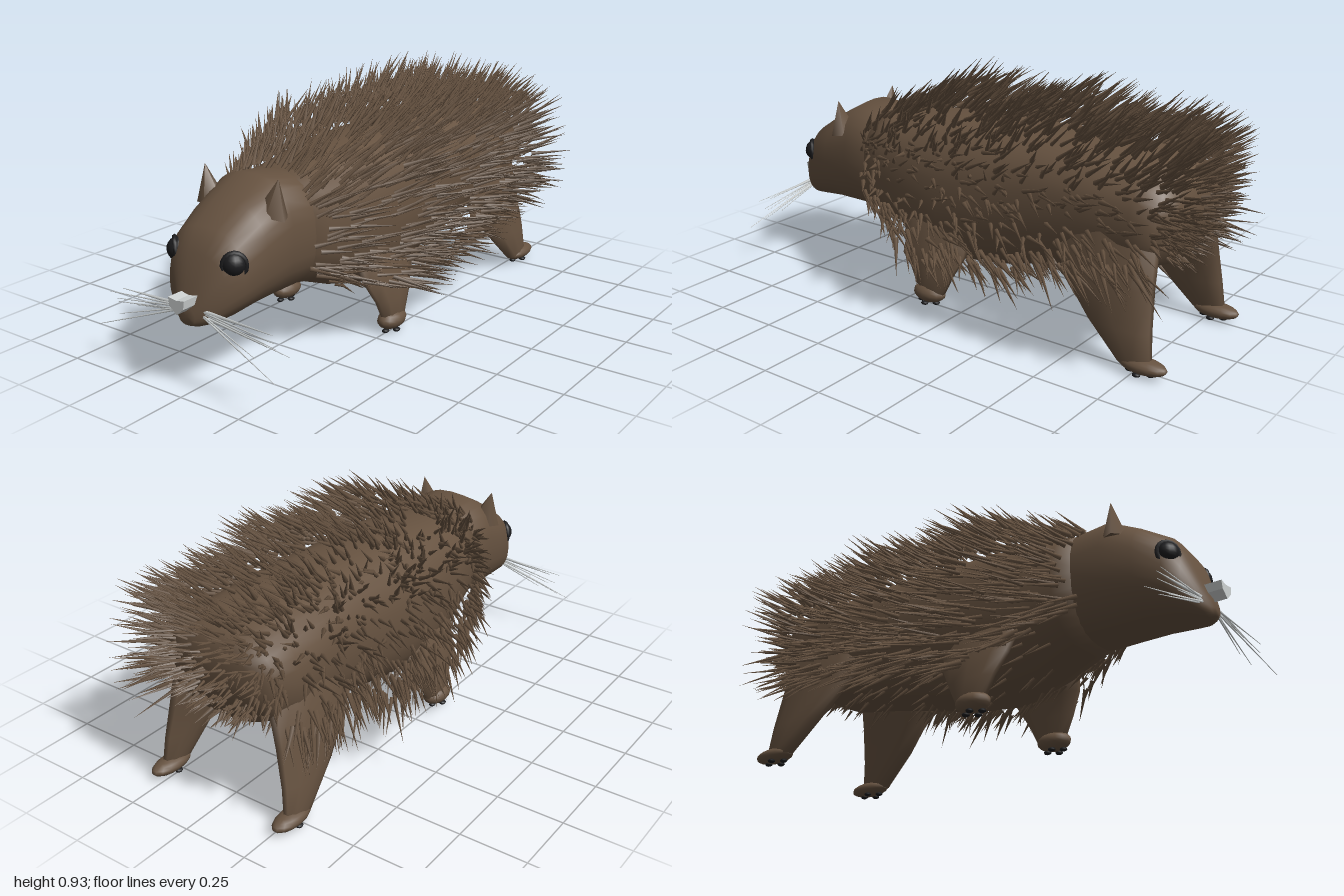
import * as THREE from 'three';
import { mergeGeometries } from 'three/addons/utils/BufferGeometryUtils.js';

// Small seeded random generator
function seeded(seed) {
  return () => {
    seed = (seed * 1664525 + 1013904223) >>> 0;
    return seed / 4294967296;
  };
}

// Skin a closed surface over a list of rings of points, with both ends capped
function loft(rings) {
  const n = rings[0].length;
  const pos = rings.flat().flatMap((p) => [p.x, p.y, p.z]);
  const idx = [];
  for (let i = 0; i < rings.length - 1; i++) {
    for (let j = 0; j < n; j++) {
      const a = i * n + j, b = i * n + (j + 1) % n;
      idx.push(a, a + n, b, b, a + n, b + n);
    }
  }
  for (const end of [0, rings.length - 1]) {
    const c = rings[end].reduce((s, p) => s.add(p), new THREE.Vector3()).divideScalar(n);
    const k = pos.length / 3;
    pos.push(c.x, c.y, c.z);
    for (let j = 0; j < n; j++) {
      const a = end * n + j, b = end * n + (j + 1) % n;
      idx.push(k, end ? b : a, end ? a : b);
    }
  }
  const g = new THREE.BufferGeometry();
  g.setAttribute('position', new THREE.Float32BufferAttribute(pos, 3));
  g.setIndex(idx);
  g.computeVertexNormals();
  return g;
}

// Point on an upright cross-section [z, halfWidth, bottom, top], slightly boxy
function sectionPoint([z, w, yb, yt], a) {
  const f = (v) => Math.sign(v) * Math.pow(Math.abs(v), 0.82);
  return new THREE.Vector3(w * f(Math.cos(a)), (yb + yt) / 2 + (yt - yb) / 2 * f(Math.sin(a)), z);
}
const zLoft = (sections, n) => loft(sections.map((s) =>
  Array.from({ length: n }, (_, j) => sectionPoint(s, j / n * Math.PI * 2))));

// Limb from flat sections [y, x, z, halfX, halfZ], top to bottom
const limb = (sections, side, n = 10) => loft(sections.map(([y, x, z, rx, rz]) =>
  Array.from({ length: n }, (_, j) => {
    const a = j / n * Math.PI * 2;
    return new THREE.Vector3(side * x + rx * Math.cos(a), y, z - rz * Math.sin(a));
  })));

// Thin tapered spike from a base point along a direction
const UP = new THREE.Vector3(0, 1, 0);
function spike(base, dir, length, radius, tip = 0) {
  const g = new THREE.CylinderGeometry(tip, radius, length, 5, 1, true);
  g.translate(0, length / 2, 0);
  g.applyQuaternion(new THREE.Quaternion().setFromUnitVectors(UP, dir.clone().normalize()));
  return g.translate(base.x, base.y, base.z);
}

const BODY = [
  [0.57, 0.18, 0.26, 0.66], [0.45, 0.21, 0.24, 0.66], [0.3, 0.235, 0.18, 0.68],
  [0.12, 0.25, 0.13, 0.7], [-0.1, 0.25, 0.16, 0.7], [-0.3, 0.25, 0.21, 0.71],
  [-0.5, 0.255, 0.26, 0.7], [-0.7, 0.26, 0.3, 0.69], [-0.79, 0.24, 0.34, 0.66],
  [-0.82, 0.15, 0.43, 0.6],
];
const HEAD = [
  [0.955, 0.035, 0.24, 0.3], [0.935, 0.07, 0.232, 0.36], [0.9, 0.125, 0.232, 0.47],
  [0.85, 0.16, 0.24, 0.545], [0.75, 0.178, 0.25, 0.61], [0.63, 0.188, 0.25, 0.675],
  [0.5, 0.193, 0.25, 0.66], [0.42, 0.17, 0.27, 0.63],
];

// Body cross-section at any z
function bodySection(z) {
  let i = 0;
  while (i < BODY.length - 2 && z < BODY[i + 1][0]) i++;
  const t = (BODY[i][0] - z) / (BODY[i][0] - BODY[i + 1][0]);
  return BODY[i].map((v, k) => v + (BODY[i + 1][k] - v) * t);
}

function quillGeometry() {
  const rand = seeded(7), list = [];
  const between = (a, b) => a + (b - a) * rand();
  const add = (z, a, lift, length, out, radius, rise) => {
    const s = bodySection(z);
    const normal = new THREE.Vector3(Math.cos(a) / s[1], Math.sin(a) * 2 / (s[3] - s[2]), 0).normalize();
    const base = sectionPoint(s, a).addScaledVector(normal, lift);
    const dir = normal.multiplyScalar(out).add(
      new THREE.Vector3(between(-0.2, 0.2), rise + between(-0.2, 0.2), -Math.sqrt(1 - out * out)));
    list.push(spike(base, dir, length, radius));
  };
  // Back and flanks: humps along the spine, standing further out at the sides
  for (let i = 0; i < 1700; i++) {
    const z = between(-0.78, 0.54), a = between(-0.65, Math.PI + 0.65);
    const grow = Math.min(1, (0.56 - z) / 0.28);
    const hump = (0.5 + 0.5 * Math.cos((z - 0.2) * Math.PI * 2 / 0.42))
      * THREE.MathUtils.clamp((z + 0.75) / 0.4, 0.1, 1);
    const flank = Math.abs(Math.cos(a));
    const lift = grow * (hump * (0.085 - 0.05 * flank) + flank * 0.065 + between(-0.015, 0.02));
    add(z, a, lift, between(0.13, 0.2) * (0.75 + 0.25 * grow),
      between(0.5, 0.72) + 0.1 * flank, between(0.007, 0.01), 0.12 * flank);
  }
  // Sparse short quills under the belly
  for (let i = 0; i < 130; i++) {
    add(between(-0.75, 0.45), between(-2.5, -0.64), 0, between(0.06, 0.1), 0.55, 0.007, 0);
  }
  // Rump, all round, longest at the upper middle
  for (let i = 0; i < 360; i++) {
    const a = between(0, Math.PI * 2), r = Math.sqrt(rand());
    const base = new THREE.Vector3(0.27 * r * Math.cos(a), 0.53 + 0.19 * r * Math.sin(a), -0.78);
    const dir = new THREE.Vector3(0.7 * r * Math.cos(a) + between(-0.3, 0.3),
      0.5 * r * Math.sin(a) + between(0, 0.5), -0.8);
    const length = between(0.1, 0.23 - 0.07 * r) * (0.85 + 0.25 * r * Math.sin(a));
    list.push(spike(base, dir, length, 0.009));
  }
  return mergeGeometries(list);
}

export function createModel() {
  const group = new THREE.Group();
  const material = (name, color) => {
    const m = new THREE.MeshStandardMaterial({ color });
    m.name = name;
    return m;
  };
  const fur = material('brown fur', 0x665240);
  const black = material('black', 0x1b1b1d);
  const grey = material('pale grey', 0xced2d2);
  const add = (name, geometry, mat) => {
    const m = new THREE.Mesh(geometry, mat);
    m.name = name;
    group.add(m);
    return m;
  };

  add('body', zLoft(BODY, 28), fur);
  add('head', zLoft(HEAD, 28), fur);
  add('quills', quillGeometry(), fur);

  // Nose: a wedge, wide at the top
  const noseShape = new THREE.Shape([[-0.035, 0.345], [-0.03, 0.315], [0, 0.29], [0.03, 0.315],
    [0.035, 0.345], [0, 0.34]].map(([x, y]) => new THREE.Vector2(x, y)));
  const nose = new THREE.ExtrudeGeometry(noseShape, { depth: 0.07, bevelEnabled: false });
  add('nose', nose.translate(0, 0, 0.93), grey);

  // Whisker tips on one side, with thickness
  const tips = [[0.33, 0.278, 0.92, 0.008], [0.36, 0.27, 0.95, 0.004], [0.35, 0.24, 0.93, 0.004],
    [0.3, 0.21, 0.97, 0.004], [0.39, 0.155, 0.985, 0.004], [0.38, 0.21, 0.9, 0.004],
    [0.29, 0.22, 0.9, 0.004]];

  for (const side of [1, -1]) {
    const label = side > 0 ? 'left' : 'right';

    // Eye with its dark rim
    add(label + 'Eye', new THREE.SphereGeometry(0.042, 18, 12), black)
      .position.set(side * 0.12, 0.448, 0.855);
    const rim = add(label + 'EyeRim', new THREE.TorusGeometry(0.038, 0.009, 6, 16), black);
    rim.scale.y = 1.1;
    rim.position.set(side * 0.13, 0.445, 0.864);
    rim.rotation.y = side * 0.75;

    // Pointed ear
    const ear = add(label + 'Ear', new THREE.ConeGeometry(0.062, 0.13, 5), fur);
    ear.scale.z = 0.65;
    ear.position.set(side * 0.148, 0.628, 0.675);
    ear.rotation.z = -side * 0.2;

    // Whiskers
    const whiskers = tips.map(([x, y, z, radius], i) => {
      const base = new THREE.Vector3(side * 0.035, 0.295 - 0.003 * i, 0.935);
      const dir = new THREE.Vector3(side * x, y, z).sub(base);
      return spike(base, dir, dir.length(), radius, 0.001);
    });
    add(label + 'Whiskers', mergeGeometries(whiskers), grey);

    // Front leg and paw
    add(label + 'FrontLeg', limb([[0.36, 0.18, 0.15, 0.045, 0.17], [0.21, 0.225, 0.14, 0.038, 0.145],
      [0.13, 0.245, 0.14, 0.033, 0.1], [0.03, 0.25, 0.14, 0.03, 0.05]], side), fur);
    const frontPaw = add(label + 'FrontPaw', new THREE.SphereGeometry(1, 14, 10), fur);
    frontPaw.scale.set(0.045, 0.036, 0.07);
    frontPaw.position.set(side * 0.25, 0.045, 0.15);

    // Hind leg: broad thigh drawn down to a narrow shank
    add(label + 'HindLeg', limb([[0.5, 0.19, -0.59, 0.06, 0.2], [0.29, 0.235, -0.615, 0.045, 0.185],
      [0.15, 0.262, -0.685, 0.035, 0.125], [0.03, 0.275, -0.755, 0.028, 0.065]], side), fur);
    const hindPaw = add(label + 'HindPaw', new THREE.SphereGeometry(1, 14, 10), fur);
    hindPaw.scale.set(0.042, 0.028, 0.09);
    hindPaw.position.set(side * 0.272, 0.035, -0.785);

    // Claws under each paw
    for (const [part, x, z, dz] of [['Front', 0.25, 0.155, 0.035], ['Hind', 0.272, -0.775, 0.04]]) {
      const claws = [];
      for (const [cx, cz] of [[-0.025, 0], [0, 1], [0.025, 0], [0, -1]]) {
        claws.push(new THREE.SphereGeometry(0.013, 8, 6).scale(1, 0.6, 1.2)
          .translate(side * x + cx, 0.008, z + cz * dz));
      }
      add(label + part + 'Claws', mergeGeometries(claws), black);
    }
  }
  return group;
}
